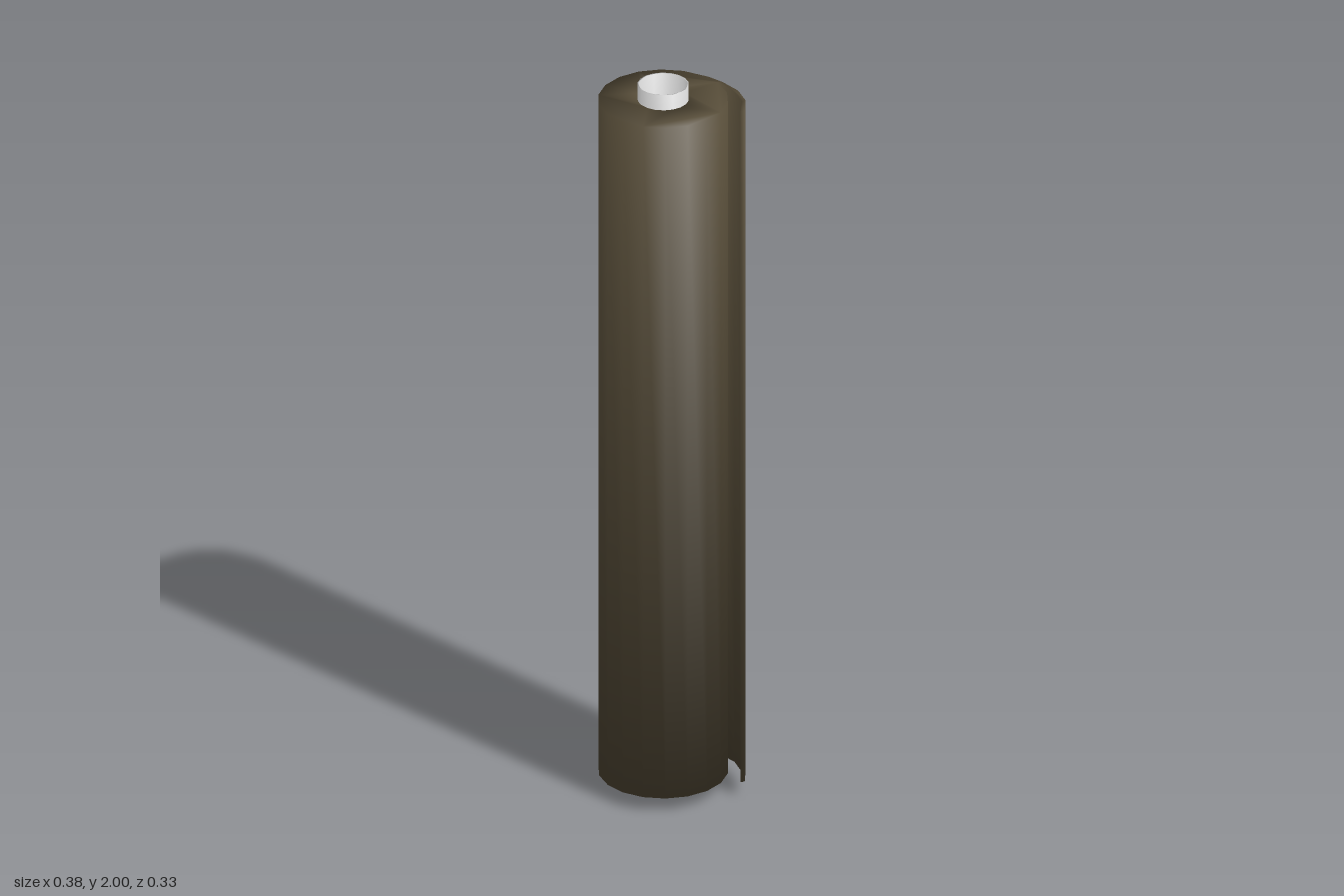
import * as THREE from 'three';
import { mergeVertices } from 'three/addons/utils/BufferGeometryUtils.js';

const SIDES = 18, CENTRE_X = -0.025;

// Points of an 18-sided ring between two step numbers, in plan (x, -z)
function ring(radius, first = 0, last = SIDES - 1) {
  const points = [];
  for (let i = first; i <= last; i++) {
    const a = (i / SIDES) * Math.PI * 2;
    points.push(new THREE.Vector2(CENTRE_X + radius * Math.cos(a), radius * Math.sin(a)));
  }
  return points;
}

// Soft normals shared by walls and caps, weighted by corner angle
function soften(geometry) {
  geometry.deleteAttribute('normal');
  geometry.deleteAttribute('uv');
  const g = mergeVertices(geometry, 1e-4);
  const pos = g.attributes.position, index = g.index.array;
  const sums = Array.from({ length: pos.count }, () => new THREE.Vector3());
  for (let f = 0; f < index.length; f += 3) {
    const ids = [0, 1, 2].map(k => index[f + k]);
    const p = ids.map(id => new THREE.Vector3().fromBufferAttribute(pos, id));
    const normal = new THREE.Triangle(...p).getNormal(new THREE.Vector3());
    ids.forEach((id, k) => {
      const a = p[(k + 1) % 3].clone().sub(p[k]);
      const b = p[(k + 2) % 3].clone().sub(p[k]);
      sums[id].addScaledVector(normal, a.angleTo(b));
    });
  }
  g.setAttribute('normal', new THREE.Float32BufferAttribute(
    sums.flatMap(n => n.normalize().toArray()), 3));
  return g;
}

// Upright prism from a plan outline with a round hole
function prism(name, outline, holeRadius, bottom, top, color) {
  const shape = new THREE.Shape(outline);
  shape.holes.push(new THREE.Path(ring(holeRadius)));
  const geometry = new THREE.ExtrudeGeometry(shape, { depth: top - bottom, bevelEnabled: false });
  geometry.rotateX(-Math.PI / 2).translate(0, bottom, 0);
  const mesh = new THREE.Mesh(soften(geometry), new THREE.MeshStandardMaterial({ color }));
  mesh.name = name;
  return mesh;
}

export function createModel() {
  const group = new THREE.Group();
  group.name = 'rolledSheet';

  // Loose end of the sheet: inner face out to the tip, then outer face back
  const flap = [
    [0.1, 0.112], [0.15, 0.066], [0.176, 0.013], [0.181, -0.045],
    [0.191, -0.041], [0.185, 0.02], [0.158, 0.073], [0.113, 0.115], [0.073, 0.14],
  ].map(([x, y]) => new THREE.Vector2(x, y));

  // Wound roll, continuing into the loose end
  const outline = [...ring(0.167, 4, SIDES + 1), ...flap];
  group.add(prism('roll', outline, 0.065, 0.042, 1.958, 0x564c38));

  // Thin hollow core sticking out at both ends
  group.add(prism('coreTube', ring(0.066), 0.062, 0, 2, 0xcccccc));
  return group;
}
